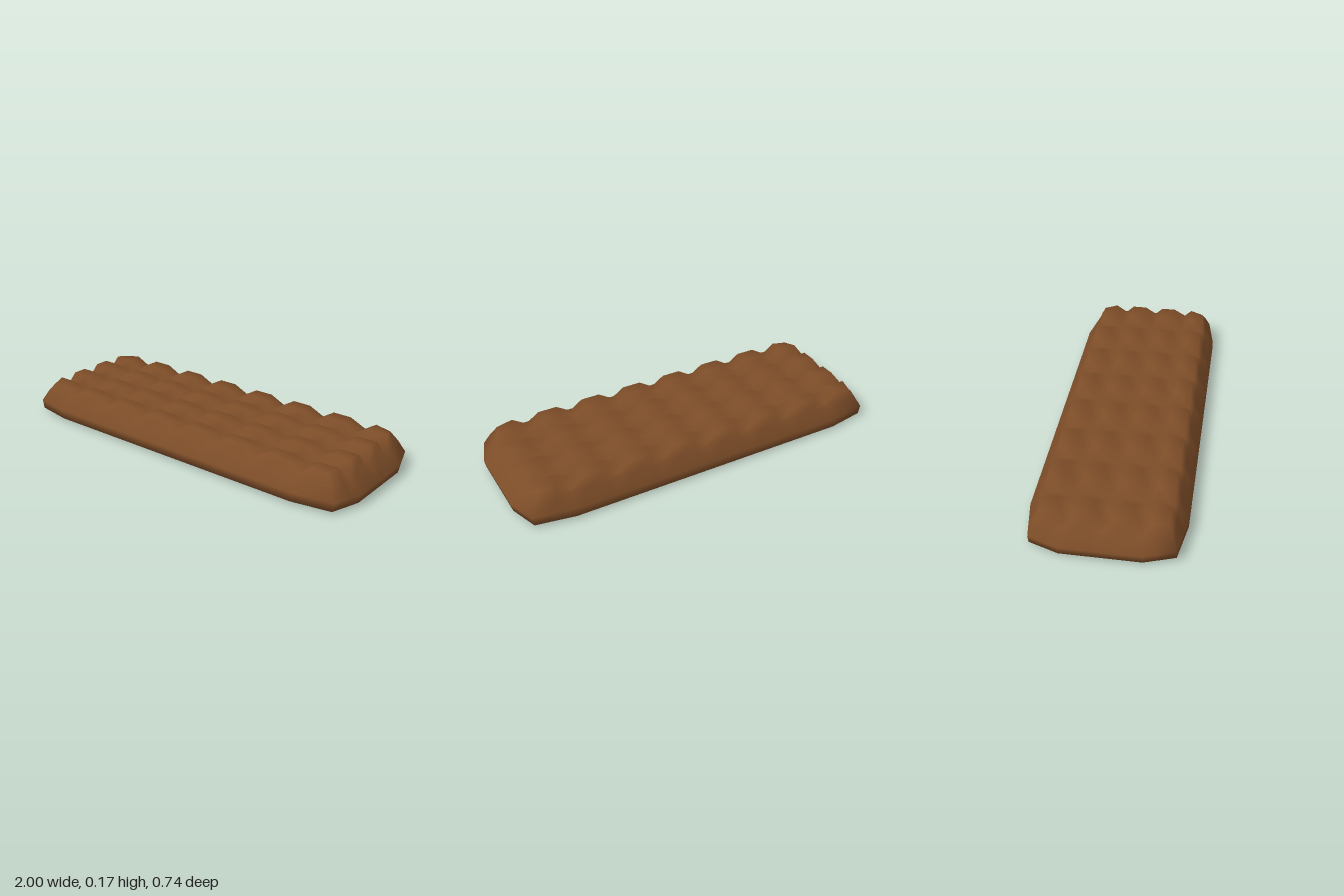
import * as THREE from 'three';

// Coordinates of tile edges and the grooves between them: edge, edge, groove, edge, edge, groove ...
function stations(count, pitch, half) {
  const list = [];
  for (let i = 0; i < count; i++) {
    const c = (i - (count - 1) / 2) * pitch;
    list.push(c - half, c + half);
    if (i < count - 1) list.push(c + pitch / 2);
  }
  return list;
}

// Widest outline of the slab, with clipped corners, for a point on the rim of the tile field
function outline(x, z, onLongSide) {
  const ax = Math.abs(x), az = Math.abs(z);
  let ox, oz;
  if (onLongSide) {
    const t = Math.max(0, (ax - 0.73) / 0.17);
    ox = t > 0 ? 0.75 + 0.2 * t : ax * 0.75 / 0.73;
    oz = 0.37 - 0.035 * t;
  } else {
    const t = Math.max(0, (az - 0.175) / 0.125);
    ox = 1 - 0.05 * t;
    oz = t > 0 ? 0.19 + 0.145 * t : az * 0.19 / 0.175;
  }
  return [Math.sign(x) * ox, Math.sign(z) * oz];
}

export function createModel() {
  const xs = stations(8, 0.243, 0.0495), zs = stations(4, 0.1745, 0.0375);
  const nx = xs.length, nz = zs.length;
  const pos = [], idx = [];
  const at = (i, j) => i * nz + j;

  // Tiled top: flat tiles, V grooves, deeper where grooves cross or run out
  for (let i = 0; i < nx; i++) {
    for (let j = 0; j < nz; j++) {
      const gx = i % 3 === 2, gz = j % 3 === 2;
      const endX = i === 0 || i === nx - 1, endZ = j === 0 || j === nz - 1;
      let y = 0.172, s = 1;
      if (gx && gz) y = 0.122;
      else if (gx || gz) y = endX || endZ ? 0.124 : 0.137;
      else if (endX && endZ) { y = 0.16; s = 0.98; }
      pos.push(xs[i] * s, y, zs[j] * s);
    }
  }
  for (let i = 0; i < nx - 1; i++) {
    for (let j = 0; j < nz - 1; j++) {
      const a = at(i, j), b = at(i, j + 1), c = at(i + 1, j), d = at(i + 1, j + 1);
      if (i % 3 === j % 3) idx.push(a, b, d, a, d, c);
      else idx.push(a, b, c, b, d, c);
    }
  }

  // Rim of the top, counter-clockwise seen from above
  const rim = [];
  for (let i = 0; i < nx; i++) rim.push([i, nz - 1, true]);
  for (let j = nz - 2; j > 0; j--) rim.push([nx - 1, j, false]);
  for (let i = nx - 1; i >= 0; i--) rim.push([i, 0, true]);
  for (let j = 1; j < nz - 1; j++) rim.push([0, j, false]);

  // Sides: rings stepping out to the widest outline, then in under the base
  let upper = rim.map(([i, j]) => at(i, j));
  const n = upper.length;
  const rings = [
    { y: 0.118, blend: 0.33, sx: 1, sz: 1 },
    { y: 0.058, blend: 1, sx: 1, sz: 1 },
    { y: 0.013, blend: 1, sx: 0.99, sz: 1 },
    { y: 0, blend: 1, sx: 0.91, sz: 0.865 },
  ];
  for (const r of rings) {
    const lower = rim.map(([i, j, long]) => {
      const [ox, oz] = outline(xs[i], zs[j], long);
      pos.push(THREE.MathUtils.lerp(xs[i], ox, r.blend) * r.sx, r.y,
        THREE.MathUtils.lerp(zs[j], oz, r.blend) * r.sz);
      return pos.length / 3 - 1;
    });
    for (let k = 0; k < n; k++) {
      const m = (k + 1) % n;
      idx.push(upper[k], lower[k], upper[m], lower[k], lower[m], upper[m]);
    }
    upper = lower;
  }

  // Flat underside
  const centre = pos.length / 3;
  pos.push(0, 0, 0);
  for (let k = 0; k < n; k++) idx.push(centre, upper[(k + 1) % n], upper[k]);

  const geometry = new THREE.BufferGeometry();
  geometry.setAttribute('position', new THREE.Float32BufferAttribute(pos, 3));
  geometry.setIndex(idx);
  geometry.computeVertexNormals();

  const bar = new THREE.Mesh(geometry, new THREE.MeshStandardMaterial({ color: 0x7d4d28 }));
  bar.name = 'chocolateBar';
  const group = new THREE.Group();
  group.name = 'chocolate';
  group.add(bar);
  return group;
}
